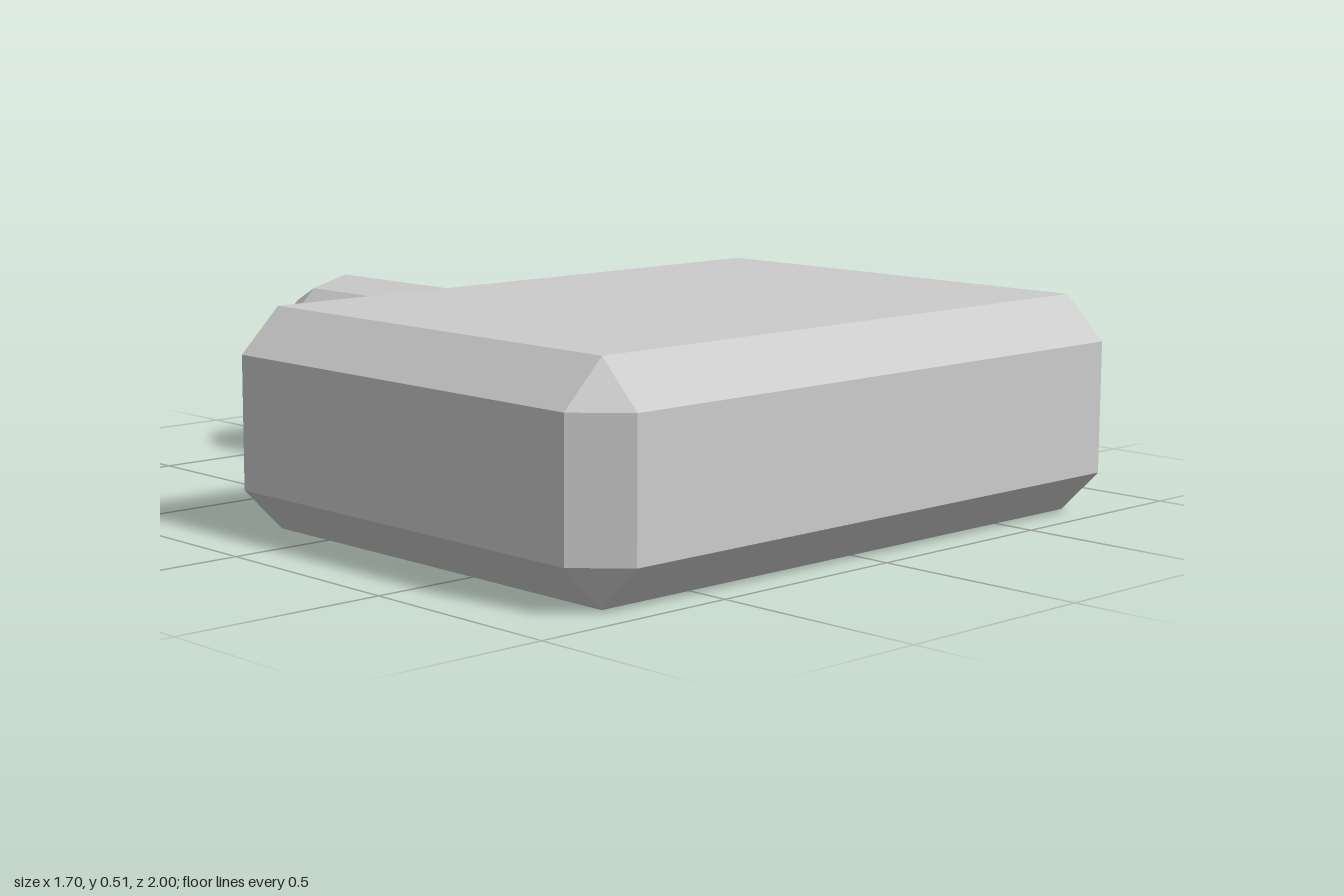
import * as THREE from 'three';
import { ConvexGeometry } from 'three/addons/geometries/ConvexGeometry.js';

const material = new THREE.MeshStandardMaterial({ color: 0xcccccc, flatShading: true });

// Box with every edge and corner cut by a flat bevel
function chamferedBox(w, h, d, c) {
  const [x, y, z] = [w / 2, h / 2, d / 2];
  const points = [];
  for (const sx of [-1, 1]) for (const sy of [-1, 1]) for (const sz of [-1, 1]) {
    points.push(
      new THREE.Vector3(sx * x, sy * (y - c), sz * (z - c)),
      new THREE.Vector3(sx * (x - c), sy * y, sz * (z - c)),
      new THREE.Vector3(sx * (x - c), sy * (y - c), sz * z)
    );
  }
  return new ConvexGeometry(points);
}

// Twelve-sided rod along z with tapered ends
function taperedRod(radius, endRadius, length, taper) {
  const profile = [
    [0, 0], [endRadius, 0], [radius, taper],
    [radius, length - taper], [endRadius, length], [0, length],
  ].map(([r, t]) => new THREE.Vector2(r, t));
  return new THREE.LatheGeometry(profile, 12).rotateX(-Math.PI / 2);
}

export function createModel() {
  const model = new THREE.Group();
  model.name = 'bevelledBlockWithStem';

  // Main slab
  const body = new THREE.Mesh(chamferedBox(1.7, 0.514, 1.276, 0.102), material);
  body.name = 'body';
  body.position.set(0, 0.257, 0.362);
  model.add(body);

  // Stem sunk into the back of the slab
  const stem = new THREE.Mesh(taperedRod(0.21, 0.16, 0.85, 0.105), material);
  stem.name = 'stem';
  stem.position.set(0, 0.257, -0.15);
  model.add(stem);

  return model;
}
